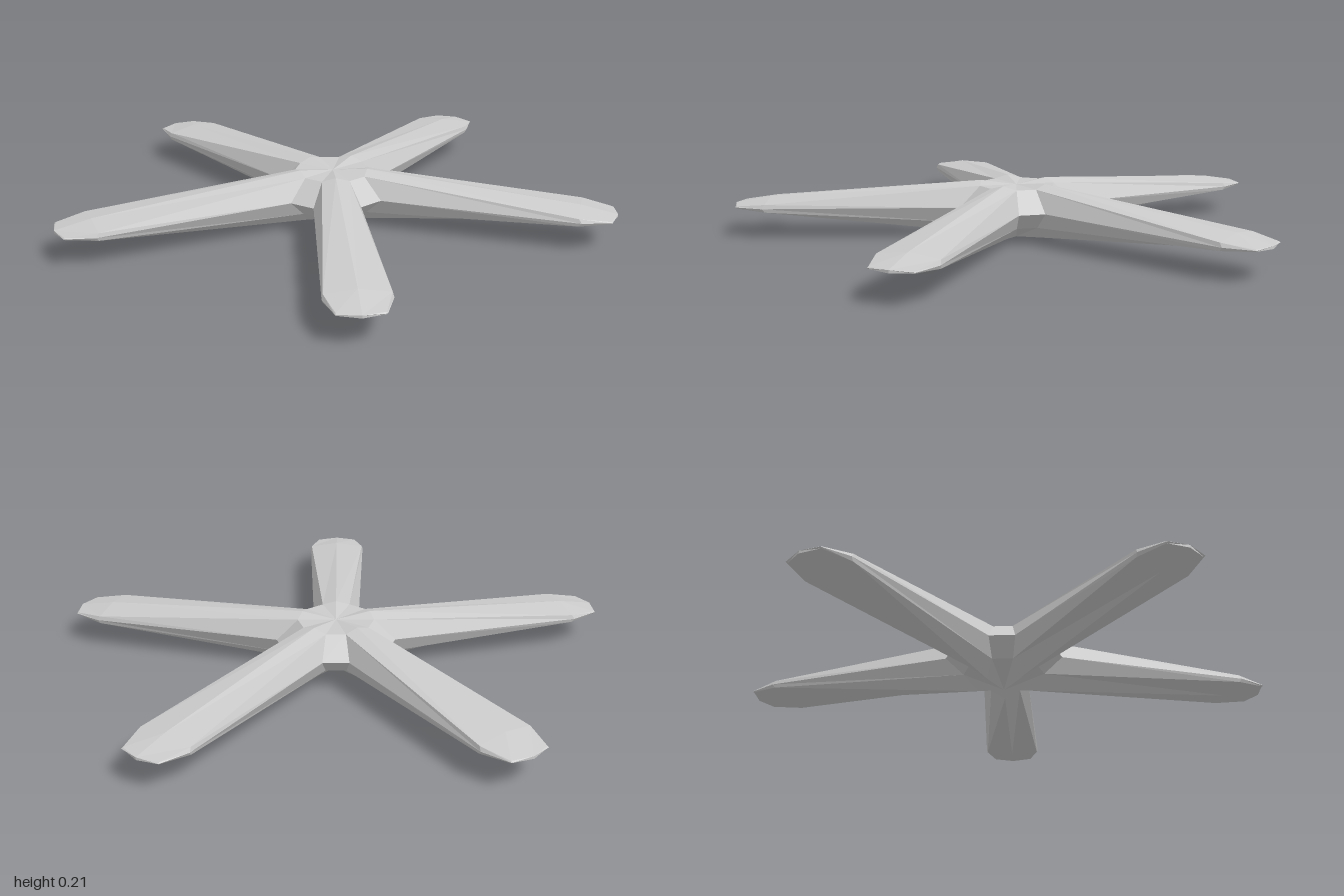
import * as THREE from 'three';

const ARMS = 5, STEP = (Math.PI * 2) / ARMS, START = THREE.MathUtils.degToRad(30);
const TOP = new THREE.Vector3(0, 0.195, 0), BOTTOM = new THREE.Vector3(0, 0, 0);

// Eight-sided cross-section of an arm; each entry is [along, height, half width]
function section(ridge, upper, middle, lower, keel) {
  const v = ([s, y, w], side = 1) => new THREE.Vector3(s, y, w * side);
  return [v(ridge), v(upper), v(middle), v(lower), v(keel), v(lower, -1), v(middle, -1), v(upper, -1)];
}

const ROOT = section([0.13, 0.21, 0], [0.13, 0.197, 0.05], [0.2, 0.122, 0.086], [0.14, 0.06, 0.055], [0.1, 0.01, 0]);
const SHOULDER = section([0.91, 0.142, 0], [0.91, 0.128, 0.108], [0.92, 0.113, 0.112], [0.91, 0.1, 0.108], [0.9, 0.086, 0]);
const TIP = section([1.042, 0.117, 0], [1.02, 0.116, 0.077], [1.025, 0.112, 0.079], [1.02, 0.108, 0.077], [1.042, 0.107, 0]);

function facets(points) {
  const geometry = new THREE.BufferGeometry().setFromPoints(points);
  geometry.computeVertexNormals();
  return geometry;
}

// Lofted arm with a ridge above, a keel below and a blunt tip
function armGeometry() {
  const points = [];
  const rings = [ROOT, SHOULDER, TIP];
  for (let r = 0; r < 2; r++) {
    for (let i = 0; i < 8; i++) {
      const j = (i + 1) % 8, a = rings[r], b = rings[r + 1];
      points.push(a[i], a[j], b[j], a[i], b[j], b[i]);
    }
  }
  // Blunt end
  for (let i = 1; i < 7; i++) points.push(TIP[0], TIP[i], TIP[i + 1]);
  // Wedges joining the arm to the centre
  for (const i of [0, 7]) points.push(TOP, ROOT[(i + 1) % 8], ROOT[i]);
  for (const i of [3, 4]) points.push(BOTTOM, ROOT[i + 1], ROOT[i]);
  return facets(points);
}

// Short faceted web filling the gap between one arm and the next
function webGeometry() {
  const next = ROOT.map((p) => p.clone().applyAxisAngle(new THREE.Vector3(0, 1, 0), -STEP));
  const [, p1, p2, p3] = ROOT;
  const [n5, n6, n7] = next.slice(5);
  return facets([
    TOP, n7, p1,
    p1, n7, n6, p1, n6, p2,
    p2, n6, n5, p2, n5, p3,
    BOTTOM, p3, n5,
  ]);
}

export function createModel() {
  const group = new THREE.Group();
  group.name = 'fiveArmedStar';
  const material = new THREE.MeshStandardMaterial({ color: 0xcccccc, flatShading: true });
  const arm = armGeometry(), web = webGeometry();

  for (let i = 0; i < ARMS; i++) {
    for (const [name, geometry] of [['arm', arm], ['hubWeb', web]]) {
      const mesh = new THREE.Mesh(geometry, material);
      mesh.name = name + (i + 1);
      mesh.rotation.y = -(START + i * STEP);
      mesh.position.set(0.05, 0, -0.02);
      group.add(mesh);
    }
  }
  return group;
}
